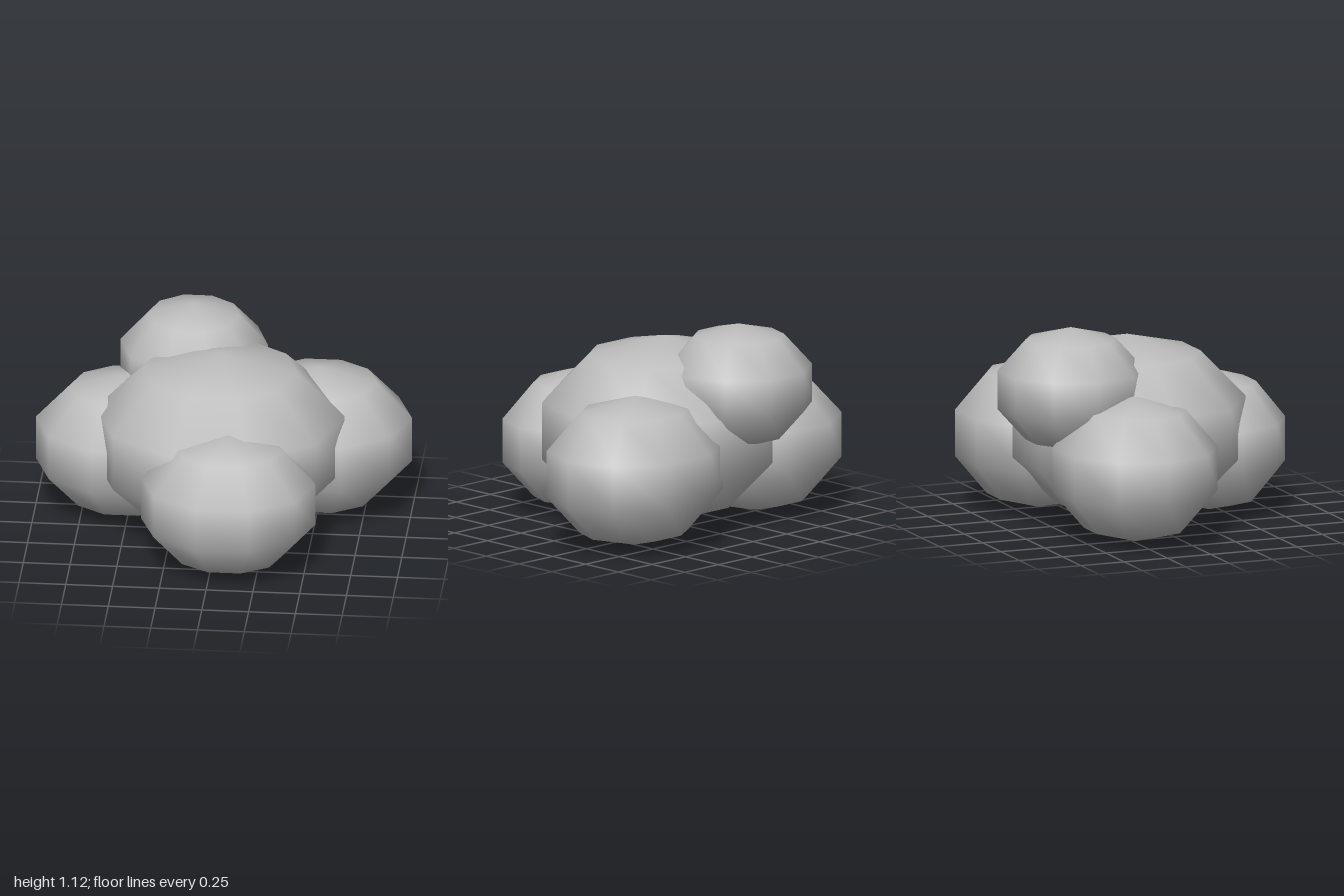
import * as THREE from 'three';

// A cloud of five overlapping low-poly puffs
export function createModel() {
  const group = new THREE.Group();
  group.name = 'cloud';

  const grey = new THREE.MeshStandardMaterial({ color: 0xbcbcbc });
  grey.name = 'cloud grey';

  // Ten-sided, five-band sphere with smooth normals, points on the +x and -x sides
  const ball = new THREE.SphereGeometry(1, 10, 5);

  function addPuff(name, position, radii) {
    const puff = new THREE.Mesh(ball, grey);
    puff.name = name;
    puff.position.set(...position);
    puff.scale.set(...radii);
    group.add(puff);
  }

  // name, centre, radii
  addPuff('bodyPuff', [0, 0.513, -0.06], [0.70, 0.50, 0.66]);
  addPuff('frontPuff', [0.09, 0.385, 0.45], [0.49, 0.385, 0.42]);
  addPuff('leftPuff', [0.5, 0.407, -0.36], [0.525, 0.407, 0.463]);
  addPuff('rightPuff', [-0.52, 0.393, -0.235], [0.505, 0.393, 0.458]);
  addPuff('topPuff', [-0.175, 0.78, -0.46], [0.415, 0.335, 0.412]);

  return group;
}
